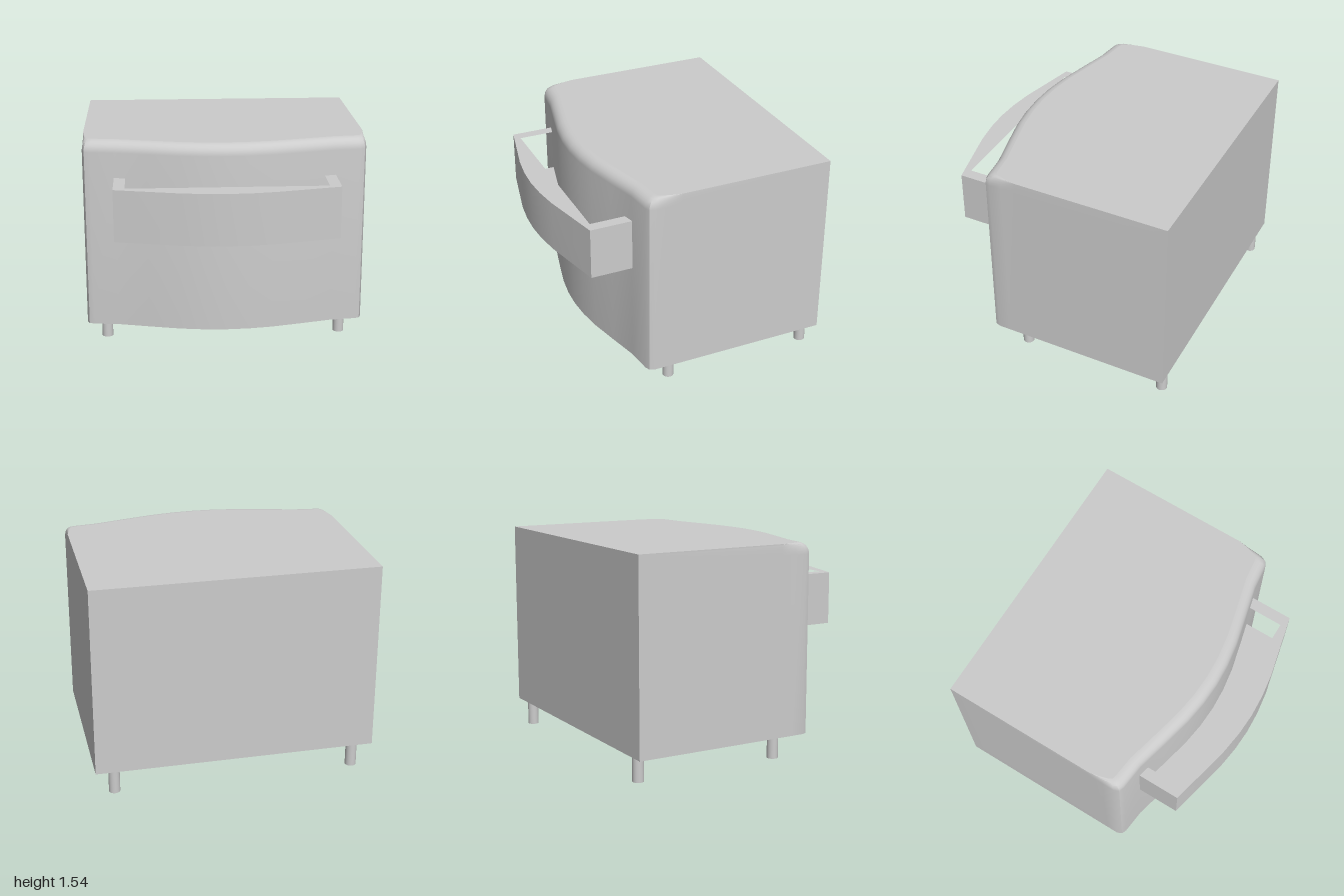
import * as THREE from 'three';
import { mergeGeometries, toCreasedNormals } from 'three/addons/utils/BufferGeometryUtils.js';

const material = new THREE.MeshStandardMaterial({ color: 0xcccccc });

function add(parent, geometry, name) {
  const mesh = new THREE.Mesh(geometry, material);
  mesh.name = name;
  parent.add(mesh);
  return mesh;
}

// Half outline (from +x edge to the middle) mirrored to the -x side
const mirror = (half) => [...half, ...half.slice(0, -1).reverse().map(([x, z]) => [-x, z])];

const toShape = (points, sign) => new THREE.Shape(points.map(([x, z]) => new THREE.Vector2(x, sign * z)));

// Plan outlines: full size, and drawn in where the rounded front edge meets the top
const lowOutline = mirror([[1, -0.91], [1, 0.2], [1, 0.31], [1, 0.4], [0.985, 0.435], [0.95, 0.45],
  [0.77, 0.47], [0.55, 0.525], [0.33, 0.577], [0.16, 0.602], [0, 0.61]]);
const topOutline = mirror([[1, -0.91], [1, 0.2], [0.985, 0.28], [0.965, 0.345], [0.95, 0.365], [0.92, 0.372],
  [0.77, 0.39], [0.55, 0.445], [0.33, 0.497], [0.16, 0.522], [0, 0.53]]);

function bodyGeometry() {
  const bottom = 0.18, top = 1.54, radius = 0.08, steps = 6;
  const rings = [{ y: bottom, t: 0 }];
  for (let i = 0; i <= steps; i++) {
    const a = (i / steps) * Math.PI / 2;
    rings.push({ y: top - radius + radius * Math.sin(a), t: 1 - Math.cos(a) });
  }
  const n = lowOutline.length, position = [], index = [];
  rings.forEach(({ y, t }, r) => {
    lowOutline.forEach(([x, z], i) => {
      const [tx, tz] = topOutline[i];
      position.push(x + (tx - x) * t, y, z + (tz - z) * t);
      if (r === rings.length - 1) return;
      const a = r * n + i, b = r * n + (i + 1) % n;
      index.push(a, a + n, b, b, a + n, b + n);
    });
  });
  const walls = new THREE.BufferGeometry();
  walls.setAttribute('position', new THREE.Float32BufferAttribute(position, 3));
  walls.setIndex(index);

  // Flat lid and underside
  const lid = new THREE.ShapeGeometry(toShape(topOutline, -1)).rotateX(-Math.PI / 2).translate(0, top, 0);
  const base = new THREE.ShapeGeometry(toShape(lowOutline, 1)).rotateX(Math.PI / 2).translate(0, bottom, 0);
  const caps = [lid, base].map((g) => g.toNonIndexed().deleteAttribute('uv'));
  return mergeGeometries([toCreasedNormals(walls, 0.6), ...caps]);
}

// Open drawer: bowed front, two sides and a floor
function createDrawer() {
  const drawer = new THREE.Group();
  drawer.name = 'drawer';
  const outline = mirror([[0.78, 0.45], [0.78, 0.77], [0.33, 0.873], [0.16, 0.897], [0, 0.905]]);
  const shape = toShape(outline, -1);
  const hole = [[0.7, 0.46], [0.7, 0.74], [-0.7, 0.74], [-0.7, 0.46]];
  shape.holes.push(new THREE.Path(hole.map(([x, z]) => new THREE.Vector2(x, -z))));
  const walls = new THREE.ExtrudeGeometry(shape, { depth: 0.37, bevelEnabled: false });
  walls.rotateX(-Math.PI / 2).translate(0, 0.91, 0);
  add(drawer, toCreasedNormals(walls, 0.4), 'drawerWalls');
  add(drawer, new THREE.BoxGeometry(1.4, 0.07, 0.28), 'drawerFloor').position.set(0, 0.945, 0.6);
  return drawer;
}

export function createModel() {
  const model = new THREE.Group();
  model.name = 'bedsideCabinet';
  add(model, bodyGeometry(), 'cabinetBody');
  model.add(createDrawer());

  // Four round legs
  const leg = new THREE.CylinderGeometry(0.04, 0.04, 0.18, 24);
  for (const [x, side] of [[0.865, 'Left'], [-0.865, 'Right']]) {
    for (const [z, end] of [[0.235, 'front'], [-0.85, 'back']]) {
      add(model, leg, `${end}${side}Leg`).position.set(x, 0.09, z);
    }
  }
  return model;
}
